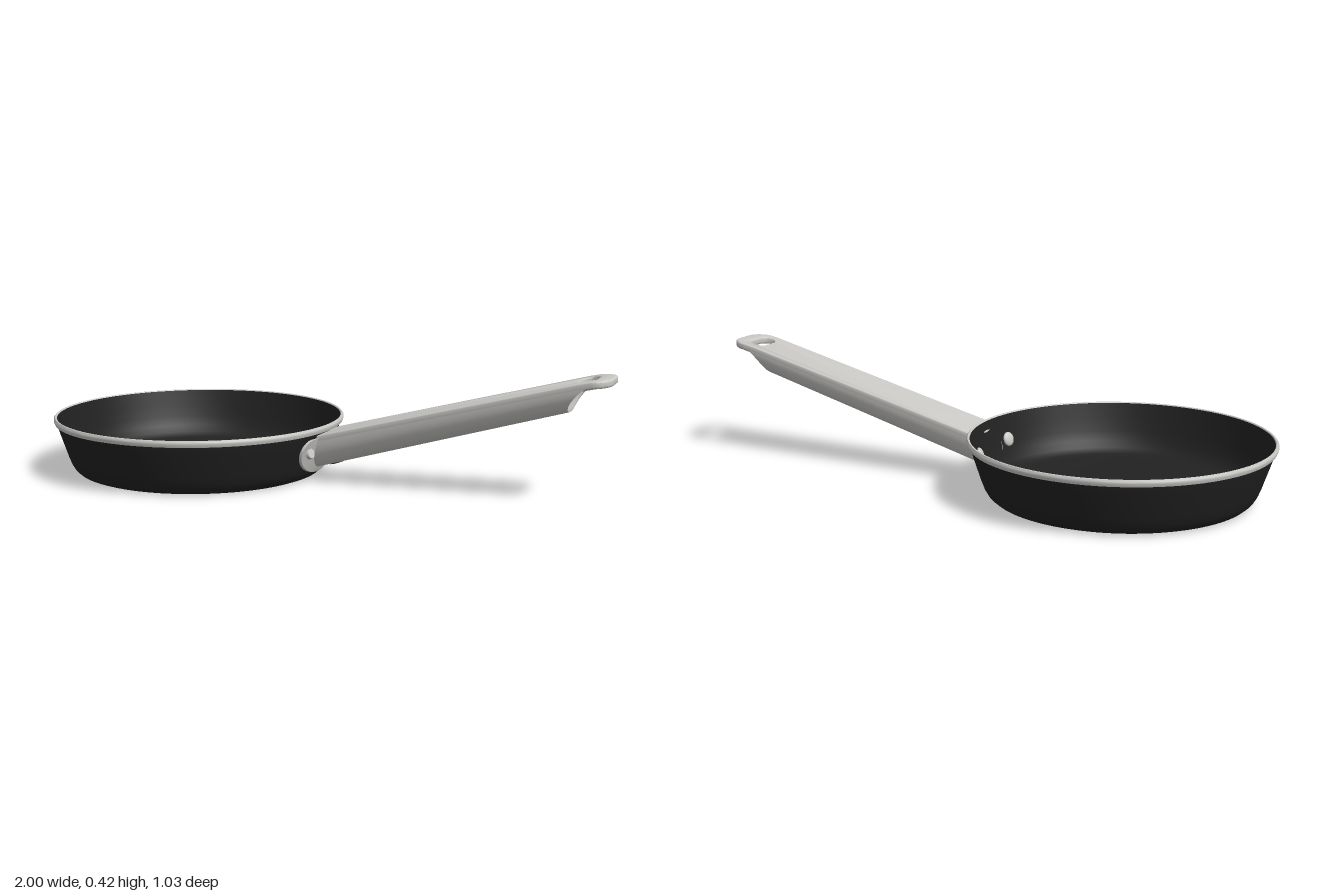
import * as THREE from 'three';
import { toCreasedNormals } from 'three/addons/utils/BufferGeometryUtils.js';

const CX = -0.485; // centre of the pan

const steel = new THREE.MeshStandardMaterial({ color: 0xcac9c6 });
steel.name = 'brushed steel';
const black = new THREE.MeshStandardMaterial({ color: 0x212121 });
black.name = 'black coating';

// Outer wall of the pan as [radius, height]
const WALL = [[0.415, 0], [0.432, 0.006], [0.446, 0.018], [0.457, 0.036], [0.467, 0.062],
  [0.483, 0.11], [0.494, 0.143], [0.505, 0.178]];

function wallRadius(y) {
  for (let i = 1; i < WALL.length; i++) {
    const [r0, y0] = WALL[i - 1], [r1, y1] = WALL[i];
    if (y <= y1) return r0 + (r1 - r0) * (y - y0) / (y1 - y0);
  }
  return 0.505;
}

// x of the pan wall, pushed out by an offset
const wallX = (y, z, out = 0) => CX + Math.sqrt((wallRadius(y) + out) ** 2 - z * z);

// Skin joining a row of closed rings
function loft(rings, crease) {
  const n = rings[0].length, index = [];
  for (let i = 0; i < rings.length - 1; i++) {
    for (let j = 0; j < n; j++) {
      const a = i * n + j, b = i * n + (j + 1) % n;
      index.push(a, b, a + n, b, b + n, a + n);
    }
  }
  const geo = new THREE.BufferGeometry();
  geo.setAttribute('position', new THREE.Float32BufferAttribute(rings.flat(2), 3));
  geo.setIndex(index);
  return toCreasedNormals(geo, crease);
}

function lathe(points) {
  const geo = new THREE.LatheGeometry(points.map(([r, y]) => new THREE.Vector2(r, y)), 96);
  return toCreasedNormals(geo, 0.7);
}

// Top and bottom lines of the handle
const handleTop = x => 0.168 + 0.264 * x - 0.17 * Math.max(0, x - 0.93);
const handleBottom = x => 0.05 + 0.29 * x;

// Flat top of the handle with rounded tip and hanging hole
function handlePlate() {
  const w = 0.09, r = 0.06, x0 = 0.008;
  const s = new THREE.Shape();
  s.moveTo(x0, -w);
  s.lineTo(0.9, -w);
  s.lineTo(1 - r, -w);
  s.absarc(1 - r, -w + r, r, -Math.PI / 2, 0, false);
  s.absarc(1 - r, w - r, r, 0, Math.PI / 2, false);
  s.lineTo(0.9, w);
  s.lineTo(x0, w);
  const hole = new THREE.Path();
  hole.absarc(0.917, 0.028, 0.028, 0, Math.PI, false);
  hole.absarc(0.917, -0.028, 0.028, Math.PI, Math.PI * 2, false);
  s.holes.push(hole);
  const bevel = 0.006;
  const geo = new THREE.ExtrudeGeometry(s, {
    depth: 0.013, bevelThickness: bevel, bevelSize: bevel, bevelOffset: -bevel,
    bevelSegments: 3, curveSegments: 12,
  });
  geo.rotateX(Math.PI / 2).translate(0, -bevel, 0);
  const p = geo.attributes.position;
  for (let i = 0; i < p.count; i++) p.setY(i, p.getY(i) + handleTop(p.getX(i)));
  return toCreasedNormals(geo, 0.6);
}

// Hollow U-shaped underside, cut back in a curve at its far end
function handleChannel() {
  const rings = [], steps = 10, sides = 32;
  for (let i = 0; i <= sides; i++) {
    const a = Math.PI * i / sides;
    const c = Math.cos(a), d = Math.pow(Math.max(0, Math.sin(a)), 0.85);
    const across = -Math.sign(c) * Math.pow(Math.abs(c), 0.85);
    const height = (x, t) => {
      const top = handleTop(x) - 0.014;
      return top - (top - handleBottom(x) - t) * d;
    };
    const start = wallX(height(0, 0), 0.09 * across, -0.004);
    const end = 0.86 + 0.075 * (1 - d) ** 2;
    const line = t => Array.from({ length: steps + 1 }, (_, k) => {
      const x = start + (end - start) * k / steps;
      return [x, height(x, t), (0.09 - t) * across];
    });
    rings.push([...line(0), ...line(0.007).reverse()]);
  }
  return loft(rings, 0.7);
}

// Mounting flange wrapped round the pan wall
function flangeGeometry() {
  const rings = [], steps = 8, cols = 40;
  for (let i = 0; i <= cols; i++) {
    const t = (i / cols - 0.5) * Math.PI;
    const z = 0.155 * Math.sin(t), lobe = Math.max(0, Math.abs(z) - 0.115) / 0.04;
    const low = 0.12 - 0.093 * Math.cos(t);
    const high = 0.12 + 0.04 * Math.sqrt(Math.max(0, 1 - lobe * lobe));
    const line = out => Array.from({ length: steps + 1 }, (_, k) => {
      const y = low + (high - low) * k / steps;
      return [wallX(y, z, out), y, z];
    });
    rings.push([...line(0.009), ...line(-0.003).reverse()]);
  }
  return loft(rings, 0.7);
}

export function createModel() {
  const model = new THREE.Group();
  model.name = 'fryingPan';
  const add = (name, geo, mat, parent = model) => {
    const mesh = new THREE.Mesh(geo, mat);
    mesh.name = name;
    parent.add(mesh);
    return mesh;
  };

  // Pan bowl, rim and base
  const pan = new THREE.Group();
  pan.name = 'pan';
  pan.position.x = CX;
  model.add(pan);
  add('bowl', lathe([...WALL, [0.508, 0.196], [0.502, 0.196], [0.49, 0.15], [0.476, 0.1], [0.463, 0.065],
    [0.448, 0.042], [0.425, 0.026], [0.395, 0.02], [0, 0.02]]), black, pan);
  add('rim', lathe([[0.503, 0.175], [0.511, 0.177], [0.515, 0.187], [0.515, 0.194],
    [0.511, 0.199], [0.506, 0.199], [0.503, 0.195]]), steel, pan);
  add('basePlate', new THREE.CylinderGeometry(0.415, 0.415, 0.004, 96), steel, pan).position.y = 0.002;

  // Handle
  const handle = new THREE.Group();
  handle.name = 'handle';
  model.add(handle);
  add('handleTop', handlePlate(), steel, handle);
  add('handleUnderside', handleChannel(), steel, handle);
  add('flange', flangeGeometry(), steel, handle);
  const drain = add('drainHole', new THREE.CylinderGeometry(0.018, 0.018, 0.006, 24), black, handle);
  drain.scale.x = 1.3;
  drain.position.set(0.045, handleBottom(0.045) + 0.001, 0);
  drain.rotation.z = Math.atan(0.29);

  // Rivets, outside and inside the wall
  for (const side of [-1, 1]) {
    const y = 0.113, z = 0.12 * side, turn = -Math.asin(z / wallRadius(y));
    const outer = add('outerRivet', new THREE.CylinderGeometry(0.017, 0.02, 0.012, 28).rotateZ(-Math.PI / 2), steel, handle);
    outer.position.set(wallX(y, z, 0.013), y, z);
    outer.rotation.set(0, turn, 0.3);
    const inner = add('innerRivet', new THREE.SphereGeometry(0.025, 24, 16).scale(0.45, 1, 1), steel, handle);
    inner.position.set(wallX(y, z, -0.006), y, z * 0.97);
    inner.rotation.set(0, turn, -0.28);
  }
  return model;
}
